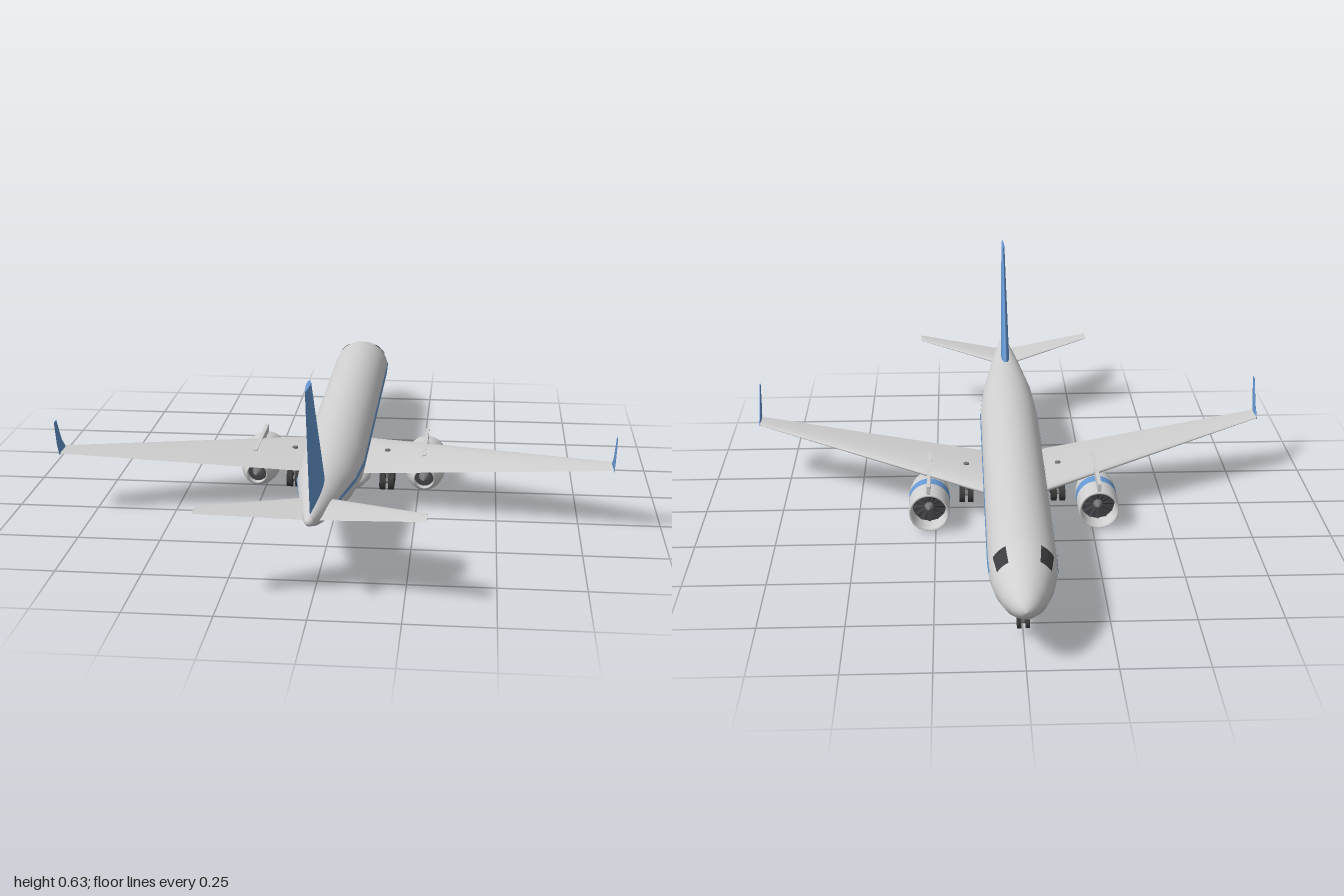
import * as THREE from 'three';

const mat = (name, color, side = THREE.FrontSide) =>
  Object.assign(new THREE.MeshStandardMaterial({ color, side }), { name });

// Surface from a grid of points: rows of equal length, outward = column step x row step
function gridSurface(rows) {
  const n = rows[0].length, index = [];
  for (let j = 0; j < rows.length - 1; j++)
    for (let i = 0; i < n - 1; i++) {
      const a = j * n + i, c = a + n;
      index.push(a, a + 1, c, a + 1, c + 1, c);
    }
  const g = new THREE.BufferGeometry();
  g.setAttribute('position', new THREE.Float32BufferAttribute(rows.flat(2), 3));
  g.setIndex(index);
  g.computeVertexNormals();
  return g;
}

// Mirror across x = 0, keeping faces outward
function mirrored(geo) {
  const g = geo.clone().scale(-1, 1, 1);
  const idx = Array.from(g.index.array);
  for (let i = 0; i < idx.length; i += 3) [idx[i], idx[i + 1]] = [idx[i + 1], idx[i]];
  g.setIndex(idx);
  g.computeVertexNormals();
  return g;
}

// Fuselage stations: z, centre height, half width, half height
const stations = [
  [-0.997, 0.176, 0.001, 0.001], [-0.992, 0.176, 0.018, 0.017], [-0.975, 0.176, 0.036, 0.033],
  [-0.93, 0.178, 0.062, 0.058], [-0.87, 0.183, 0.083, 0.08], [-0.81, 0.188, 0.094, 0.092],
  [-0.74, 0.189, 0.097, 0.095], [-0.4, 0.189, 0.097, 0.095], [0, 0.189, 0.097, 0.095],
  [0.32, 0.189, 0.097, 0.095], [0.5, 0.201, 0.085, 0.078], [0.695, 0.217, 0.056, 0.056],
  [0.85, 0.236, 0.029, 0.03], [0.925, 0.249, 0.014, 0.013],
];
function stationAt(z) {
  let k = 0;
  while (k < stations.length - 2 && z > stations[k + 1][0]) k++;
  const a = stations[k], b = stations[k + 1], t = (z - a[0]) / (b[0] - a[0]);
  return a.map((v, i) => v + (b[i] - v) * t);
}
// Part of the skin between two angles (degrees from +x), lifted off the body
function skin(zs, a0, a1, seg, lift = 0) {
  return gridSurface(zs.map((z) => {
    const [, cy, rx, ry] = stationAt(z);
    return Array.from({ length: seg + 1 }, (_, i) => {
      const a = THREE.MathUtils.degToRad(a0 + (a1 - a0) * i / seg);
      return [(rx + lift) * Math.cos(a), cy + (ry + lift) * Math.sin(a), z];
    });
  }));
}

// Aerofoil lofted through [x, y, leading z, chord, thickness], with closed ends
function foil(sections, up) {
  const N = 12;
  const ring = ([x, y, z, chord, thick], s = 1) => Array.from({ length: 2 * N + 1 }, (_, i) => {
    const t = ((N - i) / N) ** 2;
    const h = 5 * thick * (0.2969 * Math.sqrt(t) - 0.126 * t - 0.3516 * t ** 2 + 0.2843 * t ** 3 - 0.1036 * t ** 4);
    const o = s * h * (i < N ? -1 : 1);
    return [x + up[0] * o, y + up[1] * o, z + chord * (s ? t : 0.5)];
  });
  const first = sections[0], last = sections[sections.length - 1];
  return gridSurface([ring(first, 0), ring(first), ...sections.map((s) => ring(s)), ring(last), ring(last, 0)]);
}

// Turned part along z from [radius, z] points
const turned = (pts, seg = 32) =>
  new THREE.LatheGeometry(pts.map(([r, z]) => new THREE.Vector2(r, z)), seg).rotateX(Math.PI / 2);

export function createModel() {
  const body = mat('body grey', 0xd0d0d0);
  const blue = mat('trim blue', 0x6699d4);
  const glass = mat('window dark', 0x3c3c40);
  const tyre = mat('tyre dark', 0x3a3a3a);
  const metal = mat('gear metal', 0x77777a);
  const inner = mat('engine dark', 0x45454a, THREE.DoubleSide);

  const model = new THREE.Group();
  model.name = 'airliner';
  const add = (name, geo, material, parent = model) => {
    const m = new THREE.Mesh(geo, material);
    m.name = name;
    parent.add(m);
    return m;
  };
  const pair = (name, geo, material) => {
    add(name + 'Left', geo, material);
    add(name + 'Right', mirrored(geo), material);
  };

  // Fuselage, tail cap and belly fairing
  add('fuselage', skin(stations.map((s) => s[0]), 0, 360, 48), body);
  add('tailCap', new THREE.SphereGeometry(0.0138, 16, 10).translate(0, 0.249, 0.924), body);
  const belly = turned([[0, -0.245], [0.026, -0.2], [0.06, -0.13], [0.085, -0.07], [0.098, 0],
    [0.097, 0.06], [0.08, 0.12], [0.04, 0.19], [0, 0.25]]);
  add('bellyFairing', belly.scale(1, 0.37, 1).translate(0, 0.064, 0), body);

  // Side stripes and cockpit windows laid on the skin
  const stripeZ = [-0.815, -0.81, -0.74, -0.4, 0, 0.32, 0.5, 0.695];
  pair('stripe', skin(stripeZ, 3, 12, 2, 0.002), blue);
  pair('cockpitWindow', skin([-0.865, -0.84, -0.81, -0.797], 31, 60, 6, 0.0025), glass);

  // Wings, winglets and tail surfaces
  pair('wing', foil([[0.04, 0.116, -0.17, 0.35, 0.037], [0.097, 0.121, -0.14, 0.33, 0.036],
    [0.845, 0.201, 0.245, 0.076, 0.008]], [0, 1]), body);
  pair('winglet', foil([[0.845, 0.197, 0.246, 0.078, 0.007], [0.846, 0.235, 0.287, 0.053, 0.005],
    [0.847, 0.312, 0.33, 0.026, 0.003]], [-1, 0]), blue);
  pair('tailplane', foil([[0.01, 0.235, 0.712, 0.17, 0.016], [0.042, 0.238, 0.73, 0.156, 0.015],
    [0.31, 0.268, 0.89, 0.057, 0.006]], [0, 1]), body);
  add('tailFin', foil([[0, 0.262, 0.612, 0.3, 0.03], [0, 0.626, 0.89, 0.11, 0.011]], [-1, 0]), blue);

  // Engines under the wings
  const frontShell = turned([[0.054, -0.115], [0.054, -0.15], [0.056, -0.17], [0.0595, -0.177],
    [0.063, -0.172], [0.065, -0.155], [0.0655, -0.092]]);
  const band = turned([[0.0655, -0.092], [0.0655, -0.052]]);
  const rearShell = turned([[0.0655, -0.052], [0.064, -0.02], [0.058, 0.015], [0.048, 0.045],
    [0.034, 0.075], [0.03, 0.075], [0.032, 0.05]]);
  const spinner = turned([[0, -0.15], [0.009, -0.14], [0.016, -0.118]], 16);
  const plug = turned([[0.018, 0.05], [0.013, 0.07], [0, 0.092]], 16);
  for (const s of [1, -1]) {
    const engine = new THREE.Group();
    engine.name = s > 0 ? 'engineLeft' : 'engineRight';
    engine.position.set(s * 0.27, 0.0655, 0);
    model.add(engine);
    add('nacelleFront', frontShell, body, engine);
    add('nacelleBand', band, blue, engine);
    add('nacelleRear', rearShell, body, engine);
    add('fanDisc', new THREE.CircleGeometry(0.054, 32).translate(0, 0, -0.115), inner, engine);
    add('exhaustDisc', new THREE.CircleGeometry(0.033, 24).translate(0, 0, 0.05), inner, engine);
    add('spinner', spinner, metal, engine);
    add('exhaustPlug', plug, metal, engine);
    for (let i = 0; i < 12; i++) {
      const blade = add('fanBlade', new THREE.BoxGeometry(0.007, 0.04, 0.002).rotateY(0.5).translate(0, 0.033, -0.121), inner, engine);
      blade.rotation.z = i * Math.PI / 6;
    }
    add('pylon', new THREE.BoxGeometry(0.012, 0.034, 0.27).translate(0, 0.073, -0.035), body, engine);
  }

  // Landing gear: leg, axles and wheels
  const gear = (name, x, z, top, wheelY, r, half, width, axles) => {
    const g = new THREE.Group();
    g.name = name;
    g.position.set(x, wheelY, z);
    model.add(g);
    const h = top - wheelY;
    add('leg', new THREE.CylinderGeometry(0.009, 0.009, h, 12).translate(0, h / 2, 0), metal, g);
    if (axles.length > 1) add('bogieBeam', new THREE.BoxGeometry(0.01, 0.01, axles[1] - axles[0]), metal, g);
    for (const dz of axles) {
      add('axle', new THREE.CylinderGeometry(0.005, 0.005, half * 2, 8).rotateZ(Math.PI / 2).translate(0, 0, dz), metal, g);
      for (const s of [1, -1])
        add('wheel', new THREE.CylinderGeometry(r, r, width, 20).rotateZ(Math.PI / 2).translate(s * half, 0, dz), tyre, g);
    }
  };
  gear('noseGear', 0, -0.81, 0.11, 0.042, 0.02, 0.012, 0.012, [0]);
  for (const s of [1, -1])
    gear(s > 0 ? 'mainGearLeft' : 'mainGearRight', s * 0.15, 0.03, 0.147, 0.047, 0.026, 0.014, 0.018, [-0.028, 0.028]);

  return model;
}
